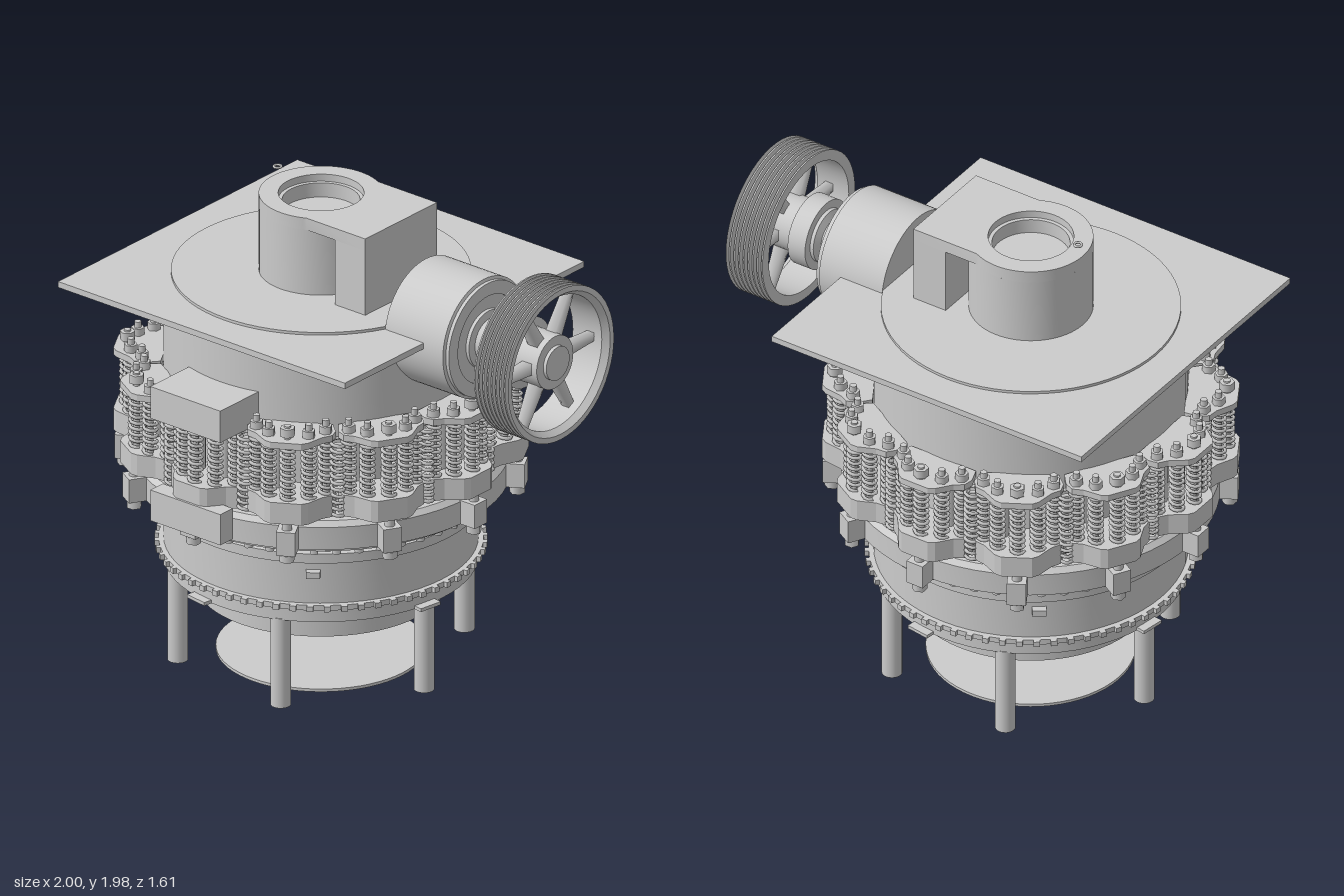
import * as THREE from 'three';
import { toCreasedNormals } from 'three/addons/utils/BufferGeometryUtils.js';

const mat = new THREE.MeshStandardMaterial({ color: 0xcccccc, side: THREE.DoubleSide });
const V2 = (p) => new THREE.Vector2(p[0], p[1]);

function add(parent, name, geo, x = 0, y = 0, z = 0) {
  const m = new THREE.Mesh(geo, mat);
  m.name = name;
  m.position.set(x, y, z);
  parent.add(m);
  return m;
}
// revolved profile of [radius, height] points
const lathe = (pts, seg = 64) => toCreasedNormals(new THREE.LatheGeometry(pts.map(V2), seg), 0.6);
// hollow ring with rectangular section
const ring = (ri, ro, y0, y1) => lathe([[ri, y0], [ro, y0], [ro, y1], [ri, y1], [ri, y0]]);
const cyl = (r, h, seg = 16) => new THREE.CylinderGeometry(r, r, h, seg);
const box = (w, h, d) => new THREE.BoxGeometry(w, h, d);
// horizontal plate whose shape y runs along +z, spanning y0..y1
function plate(shape, y0, y1) {
  const g = new THREE.ExtrudeGeometry(shape, { depth: y1 - y0, bevelEnabled: false, curveSegments: 32 });
  return g.rotateX(Math.PI / 2).translate(0, y1, 0);
}
// n groups around the vertical axis, local +z pointing outward
function around(parent, name, n, start, fill) {
  for (let i = 0; i < n; i++) {
    const g = new THREE.Group();
    g.name = name;
    g.rotation.y = start + (i * 2 * Math.PI) / n;
    fill(g);
    parent.add(g);
  }
}
class Helix extends THREE.Curve {
  constructor(r, h, turns) { super(); Object.assign(this, { r, h, turns }); }
  getPoint(t, out = new THREE.Vector3()) {
    const a = t * this.turns * 2 * Math.PI;
    return out.set(this.r * Math.cos(a), this.h * t, this.r * Math.sin(a));
  }
}
const spring = (h, turns) => new THREE.TubeGeometry(new Helix(0.026, h, turns), turns * 10, 0.0075, 5);

function buildBase(m) {
  add(m, 'groundDisc', cyl(0.405, 0.012, 64), 0, 0.006, 0);
  const leg = cyl(0.04, 0.38, 20);
  around(m, 'leg', 6, THREE.MathUtils.degToRad(84), (g) => add(g, 'legPost', leg, 0, 0.205, 0.568));
  add(m, 'dischargeSkirt', ring(0.45, 0.48, 0.27, 0.5));
  // lower shell with its flanges
  add(m, 'lowerShell', lathe([
    [0.45, 0.39], [0.605, 0.39], [0.605, 0.448], [0.625, 0.448], [0.625, 0.47], [0.605, 0.47],
    [0.605, 0.65], [0.63, 0.65], [0.63, 0.69], [0.605, 0.69], [0.605, 0.75],
  ]));
  add(m, 'innerCone', lathe([[0.45, 0.45], [0.44, 0.6], [0.3, 0.85], [0.17, 1.0]]));
  add(m, 'innerHub', cyl(0.17, 0.5, 32), 0, 0.8, 0);
  const tooth = box(0.025, 0.022, 0.03), stop = box(0.1, 0.014, 0.04), peg = box(0.055, 0.026, 0.05);
  around(m, 'flangeBolt', 60, 0, (g) => add(g, 'bolt', tooth, 0, 0.459, 0.625));
  around(m, 'baseTab', 4, THREE.MathUtils.degToRad(-9), (g) => add(g, 'tab', stop, 0, 0.397, 0.62));
  around(m, 'sidePeg', 4, THREE.MathUtils.degToRad(37), (g) => add(g, 'peg', peg, 0, 0.6, 0.61));
}

function buildAdjustmentRing(m) {
  add(m, 'adjustmentRing', lathe([
    [0.6, 0.735], [0.7, 0.735], [0.7, 0.755], [0.73, 0.755], [0.73, 0.85], [0.71, 0.87], [0.6, 0.87],
  ]));
  const bolt = cyl(0.018, 0.03, 6);
  around(m, 'underBolt', 48, 0, (g) => add(g, 'bolt', bolt, 0, 0.724, 0.662));
  const lug = box(0.075, 0.1, 0.09), pin = cyl(0.02, 0.18, 12), nut = cyl(0.03, 0.03, 6);
  around(m, 'ringLug', 12, 0, (g) => {
    add(g, 'lug', lug, 0, 0.805, 0.755);
    add(g, 'lugPin', pin, 0, 0.81, 0.765);
    add(g, 'lugNut', nut, 0, 0.735, 0.765);
  });
}

function buildSprings(m) {
  const outline = new THREE.Shape([
    [-0.15, 0.6], [0.15, 0.6], [0.172, 0.66], [0.165, 0.7], [0.13, 0.725], [0.085, 0.785], [0.06, 0.8],
    [-0.06, 0.8], [-0.085, 0.785], [-0.13, 0.725], [-0.165, 0.7], [-0.172, 0.66],
  ].map(V2));
  const block = plate(outline, 0.89, 0.98), cap = plate(outline, 1.208, 1.235);
  const coil = spring(0.228, 9), longCoil = spring(0.32, 12);
  const rod = cyl(0.014, 0.32, 8), nut = cyl(0.026, 0.03, 6);
  const post = cyl(0.02, 0.23, 10), bigNut = cyl(0.03, 0.035, 6);
  const seats = [[0, 0.755], [0.078, 0.728], [-0.078, 0.728], [0.135, 0.675], [-0.135, 0.675]];
  around(m, 'springCluster', 12, 0, (g) => {
    add(g, 'springSeat', block);
    add(g, 'springCap', cap);
    seats.forEach(([x, z], i) => {
      add(g, 'spring', coil, x, 0.98, z);
      add(g, 'springRod', rod, x, 1.13, z);
      add(g, 'rodNut', i ? nut : bigNut, x, i ? 1.25 : 1.265, z);
    });
    for (const s of [-1, 1]) add(g, 'guidePost', post, s * 0.06, 1.094, 0.65);
  });
  around(m, 'gapSpring', 12, Math.PI / 12, (g) => add(g, 'spring', longCoil, 0, 0.89, 0.7));
}

function buildTop(m) {
  add(m, 'upperShell', ring(0.55, 0.605, 0.86, 1.575));
  add(m, 'topPlate', box(1.435, 0.025, 1.435), 0, 1.582, 0);
  add(m, 'topDisc', cyl(0.577, 0.012, 72), 0, 1.6, 0);
  // feed inlet: round wall, overhanging roof and side wall
  add(m, 'inletWall', ring(0.165, 0.24, 1.605, 1.88));
  const roof = new THREE.Shape();
  const a = Math.asin(0.215 / 0.24);
  roof.moveTo(0.4, -0.215);
  roof.lineTo(0.4, 0.215);
  roof.lineTo(0.24 * Math.cos(a), 0.215);
  roof.absarc(0, 0, 0.24, a, 2 * Math.PI - a, false);
  roof.closePath();
  roof.holes.push(new THREE.Path().absarc(0, 0, 0.165, 0, Math.PI * 2, true));
  add(m, 'inletRoof', toCreasedNormals(plate(roof, 1.88, 1.93), 0.6));
  add(m, 'inletSideWall', box(0.15, 0.275, 0.43), 0.325, 1.7425, 0);
  add(m, 'inletFloor', cyl(0.165, 0.02, 48), 0, 1.83, 0);
  add(m, 'inletLiner', ring(0.15, 0.165, 1.83, 1.9));
  add(m, 'liftingRing', new THREE.TorusGeometry(0.015, 0.005, 6, 16).rotateX(Math.PI / 2), -0.218, 1.975, 0);
  // control boxes on the front
  add(m, 'upperControlBox', box(0.35, 0.135, 0.23), -0.004, 1.277, 0.695);
  add(m, 'lowerControlBox', box(0.35, 0.13, 0.075), -0.004, 0.84, 0.772);
}

function buildDrive(root) {
  // local y is the shaft axis, turned to run along x
  const d = new THREE.Group();
  d.name = 'drive';
  d.rotation.z = -Math.PI / 2;
  d.position.y = 1.56;
  root.add(d);
  add(d, 'shaftHousing', lathe([
    [0, 0.325], [0.247, 0.325], [0.247, 0.615], [0.235, 0.62], [0.235, 0.635], [0.18, 0.635], [0.18, 0.625], [0, 0.625],
  ]));
  add(d, 'shaftHub', lathe([
    [0.12, 0.62], [0.12, 0.64], [0.09, 0.645], [0.08, 0.72], [0.11, 0.735], [0.11, 0.75],
    [0.145, 0.75], [0.145, 0.83], [0.11, 0.84], [0.11, 0.97], [0.07, 0.97], [0.07, 0.985], [0, 0.985],
  ], 40));
  // grooved pulley rim
  const grooves = 8, y0 = 0.83, step = 0.17 / grooves;
  const rim = [[0.275, y0]];
  for (let i = 0; i < grooves; i++) {
    const y = y0 + i * step;
    rim.push([0.318, y], [0.318, y + step * 0.3], [0.298, y + step * 0.6]);
  }
  rim.push([0.318, 1.0], [0.295, 1.0], [0.275, 0.975], [0.275, y0]);
  add(d, 'pulleyRim', lathe(rim, 56));
  const spoke = new THREE.CylinderGeometry(0.024, 0.034, 0.19, 4, 1).rotateY(Math.PI / 4).rotateX(Math.PI / 2);
  around(d, 'pulleySpoke', 6, 0, (g) => add(g, 'spoke', spoke, 0, 0.92, 0.19));
}

export function createModel() {
  const root = new THREE.Group();
  root.name = 'coneCrusher';
  const body = new THREE.Group();
  body.name = 'body';
  body.position.x = -0.2;
  root.add(body);
  buildBase(body);
  buildAdjustmentRing(body);
  buildSprings(body);
  buildTop(body);
  buildDrive(root);
  return root;
}
